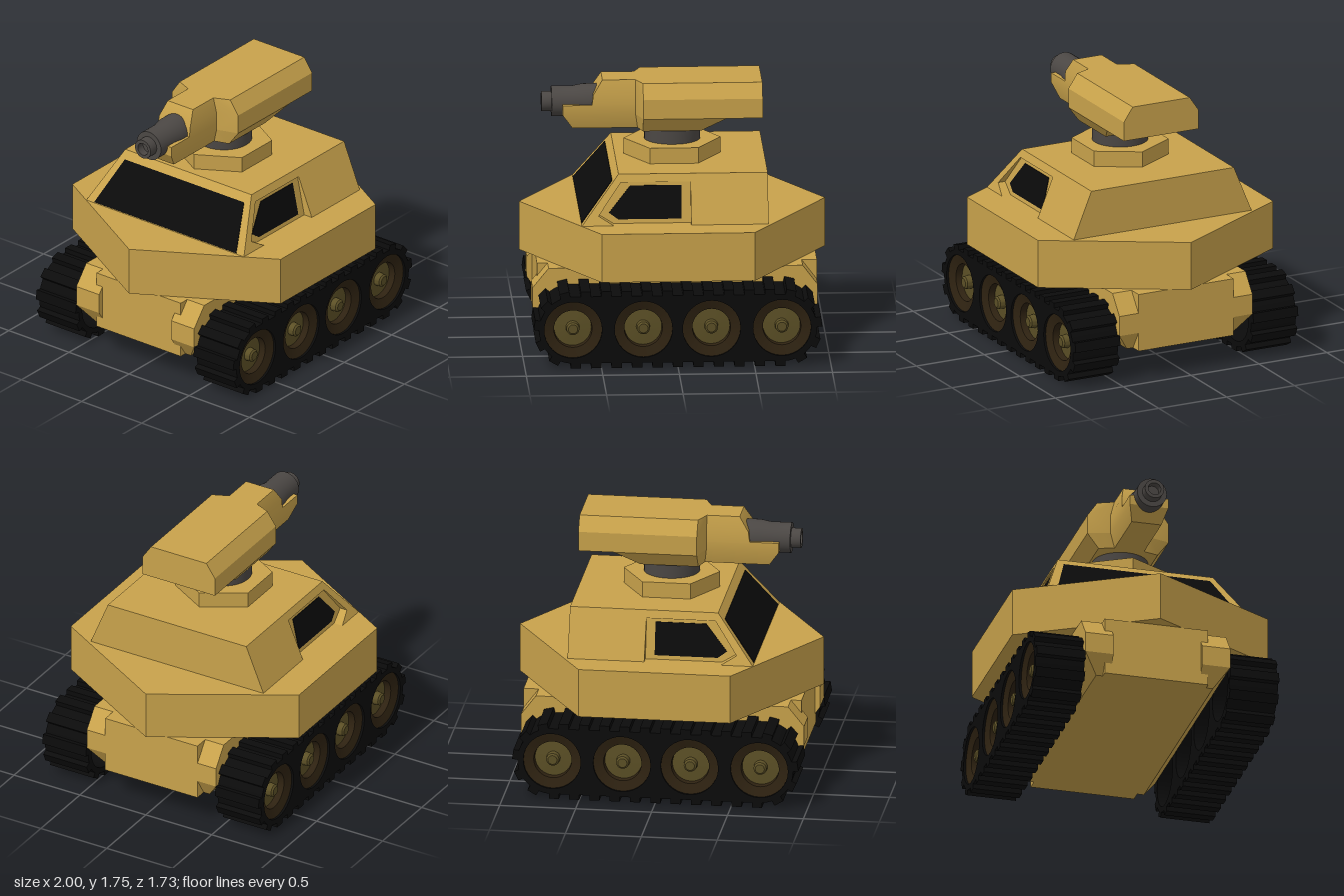
import * as THREE from 'three';
import { toCreasedNormals } from 'three/addons/utils/BufferGeometryUtils.js';
import { ConvexGeometry } from 'three/addons/geometries/ConvexGeometry.js';

const mat = (name, color) => {
  const m = new THREE.MeshStandardMaterial({ color });
  m.name = name;
  return m;
};

export function createModel() {
  const sand = mat('sand', 0xc8a24b);
  const black = mat('black', 0x0b0b0b);
  const gunmetal = mat('gunmetal', 0x4b4744);
  const brown = mat('darkBrown', 0x2e2211);
  const olive = mat('olive', 0x5c5026);

  const model = new THREE.Group();
  model.name = 'tank';

  const add = (name, geo, material, parent = model) => {
    const mesh = new THREE.Mesh(toCreasedNormals(geo, 0.5), material);
    mesh.name = name;
    parent.add(mesh);
    return mesh;
  };
  const v = (x, y, z) => new THREE.Vector3(x, y, z);
  // Convex solid from [x, y, halfWidth] points mirrored across z
  const hullOf = (pts) => new ConvexGeometry(pts.flatMap(([x, y, z]) => [v(x, y, z), v(x, y, -z)]));
  const shapeOf = (pts) => new THREE.Shape(pts.map(([x, y]) => new THREE.Vector2(x, y)));
  // Side profile stretched between two z rules that depend on height
  const slab = (pts, zBack, zFront) => {
    const geo = new THREE.ExtrudeGeometry(shapeOf(pts), { depth: 1, bevelEnabled: false });
    const p = geo.attributes.position;
    for (let i = 0; i < p.count; i++) {
      const y = p.getY(i);
      p.setZ(i, p.getZ(i) < 0.5 ? zBack(y) : zFront(y));
    }
    return geo;
  };
  const sideSlab = (pts, inner, outer, s) =>
    s > 0 ? slab(pts, inner, outer) : slab(pts, (y) => -outer(y), (y) => -inner(y));
  const hexPrism = (r, y0, y1) =>
    new THREE.CylinderGeometry(r, r, y1 - y0, 6).rotateY(Math.PI / 2).translate(0, (y0 + y1) / 2, 0);
  const lathe = (pts, n = 32) => new THREE.LatheGeometry(pts.map(([r, y]) => new THREE.Vector2(r, y)), n);

  // Lower hull: centre block with bevelled corner blocks
  add('hullCentre', new THREE.BoxGeometry(1.83, 0.39, 0.7).translate(0.015, 0.395, 0), sand);
  for (const s of [1, -1]) {
    const profile = [
      [-0.83, 0.59, 0.49], [-0.935, 0.46, 0.49], [-0.935, 0.325, 0.49], [-0.85, 0.2, 0.395],
      [0.85, 0.2, 0.395], [0.928, 0.325, 0.49], [0.928, 0.46, 0.49], [0.83, 0.59, 0.49],
    ];
    const pts = profile.flatMap(([x, y, z]) => [v(x, y, s * z), v(x, y, s * 0.3)]);
    add('hullSide', new ConvexGeometry(pts), sand);
  }

  // Hexagonal deck
  add('deck', hexPrism(1, 0.59, 0.915), sand);

  // Cabin: narrow core plus side panels cut out around the windows
  const inner = (y) => 0.592 - (y - 0.915) * 0.213;
  const outer = (y) => 0.655 - (y - 0.915) * 0.413;
  const core = [[-0.62, 0.915], [0.6, 0.915], [0.6, 1.23], [-0.375, 1.23]];
  const panel = [
    [-0.62, 0.915], [-0.41, 0.915], [-0.51, 0.975], [-0.36, 1.18], [0.095, 1.18],
    [0.095, 0.915], [0.6, 0.915], [0.6, 1.23], [-0.375, 1.23],
  ];
  const pane = [[-0.38, 0.942], [0.035, 0.942], [0.035, 1.157], [-0.3, 1.157], [-0.44, 0.985]];
  add('cabinCore', slab(core, (y) => -inner(y), inner), sand);
  for (const s of [1, -1]) {
    add('cabinSidePanel', sideSlab(panel, () => 0.5, outer, s), sand);
    add('sideWindow', sideSlab(pane, inner, (y) => inner(y) + 0.004, s), black);
  }
  const glass = [];
  for (const [t, z] of [[0.01, 0.59], [0.84, 0.495]])
    for (const d of [-0.004, 0.004])
      glass.push([-0.62 + 0.245 * t - 0.789 * d, 0.915 + 0.315 * t + 0.614 * d, z]);
  add('windshield', hullOf(glass), black);

  // Turret mount
  add('turretBase', hexPrism(0.317, 1.23, 1.335), sand);
  add('turretNeck', new THREE.CylinderGeometry(0.184, 0.184, 0.12, 32).translate(0, 1.385, 0), gunmetal);

  // Turret body, underside and nose
  const body = [];
  for (const x of [-0.2, 0.58]) body.push([x, 1.53, 0.275], [x, 1.66, 0.275], [x, 1.755, 0.21]);
  body.push([-0.245, 1.53, 0.13], [-0.245, 1.66, 0.13], [-0.245, 1.755, 0.105]);
  add('turretBody', hullOf(body), sand);
  add('turretUnderside', hullOf([
    [-0.245, 1.53, 0.13], [-0.2, 1.53, 0.275], [0.345, 1.53, 0.275],
    [0.18, 1.43, 0.2], [-0.2, 1.43, 0.2], [-0.23, 1.43, 0.1],
  ]), sand);
  add('turretNoseTop', hullOf([
    [-0.2, 1.755, 0.105], [-0.46, 1.755, 0.105], [-0.52, 1.66, 0.13],
    [-0.53, 1.58, 0.13], [-0.2, 1.58, 0.13], [-0.2, 1.66, 0.13],
  ]), sand);
  add('turretNoseBottom', hullOf([
    [-0.2, 1.59, 0.13], [-0.72, 1.59, 0.13], [-0.72, 1.525, 0.13],
    [-0.655, 1.43, 0.1], [-0.2, 1.43, 0.1], [-0.2, 1.525, 0.13],
  ]), sand);

  // Gun barrel with hollow muzzle
  const barrel = lathe([
    [0.113, 0.45], [0.113, 0.58], [0.1, 0.65], [0.1, 0.79], [0.065, 0.79],
    [0.065, 0.855], [0.042, 0.855], [0.042, 0.8], [0, 0.8],
  ]);
  add('barrel', barrel.rotateZ(Math.PI / 2).translate(0, 1.59, 0), gunmetal);

  // Tracks
  const half = 0.683, R = 0.225, cy = 0.258, width = 0.33;
  const straight = 2 * half, arc = Math.PI * R, lugs = 31;
  const step = (2 * (straight + arc)) / lugs;
  const wheelX = [-0.685, -0.225, 0.22, 0.68];

  // Position and outward angle at a distance along the loop
  const onLoop = (d, r) => {
    if (d < straight) return [-half + d, cy - r, -Math.PI / 2];
    d -= straight;
    if (d < arc) {
      const a = -Math.PI / 2 + d / R;
      return [half + r * Math.cos(a), cy + r * Math.sin(a), a];
    }
    d -= arc;
    if (d < straight) return [half - d, cy + r, Math.PI / 2];
    const a = Math.PI / 2 + (d - straight) / R;
    return [-half + r * Math.cos(a), cy + r * Math.sin(a), a];
  };

  for (const s of [1, -1]) {
    const track = new THREE.Group();
    track.name = s > 0 ? 'leftTrack' : 'rightTrack';
    model.add(track);
    track.rotation.y = s > 0 ? 0 : Math.PI;

    const belt = new THREE.Shape();
    belt.moveTo(-half, cy - R);
    belt.lineTo(half, cy - R);
    belt.absarc(half, cy, R, -Math.PI / 2, Math.PI / 2, false);
    belt.lineTo(-half, cy + R);
    belt.absarc(-half, cy, R, Math.PI / 2, Math.PI * 1.5, false);
    for (const x of wheelX)
      belt.holes.push(new THREE.Path().absarc(s * x, cy, 0.189, 0, Math.PI * 2, true));
    const beltGeo = new THREE.ExtrudeGeometry(belt, { depth: width, bevelEnabled: false, curveSegments: 16 });
    add('belt', beltGeo.translate(0, 0, 0.49), black, track);

    for (let i = 0; i < lugs; i++) {
      const [x, y, a] = onLoop(0.015 + i * step, R + 0.012);
      const lug = add('lug', new THREE.BoxGeometry(0.042, 0.066, width), black, track);
      lug.position.set(x, y, 0.49 + width / 2);
      lug.rotation.z = a;
    }

    // Dished road wheels with hubs
    for (const x of wheelX) {
      const wheel = new THREE.Group();
      wheel.name = 'roadWheel';
      wheel.position.set(s * x, cy, 0.49);
      wheel.rotation.x = Math.PI / 2;
      track.add(wheel);
      add('wheelRim', lathe([[0.19, 0.0], [0.19, 0.315], [0.125, 0.295], [0.122, 0.25]]), brown, wheel);
      add('wheelDish', lathe([[0.123, 0.25], [0.045, 0.255], [0.042, 0.295], [0.03, 0.305], [0, 0.305]]), olive, wheel);
    }
  }
  return model;
}
